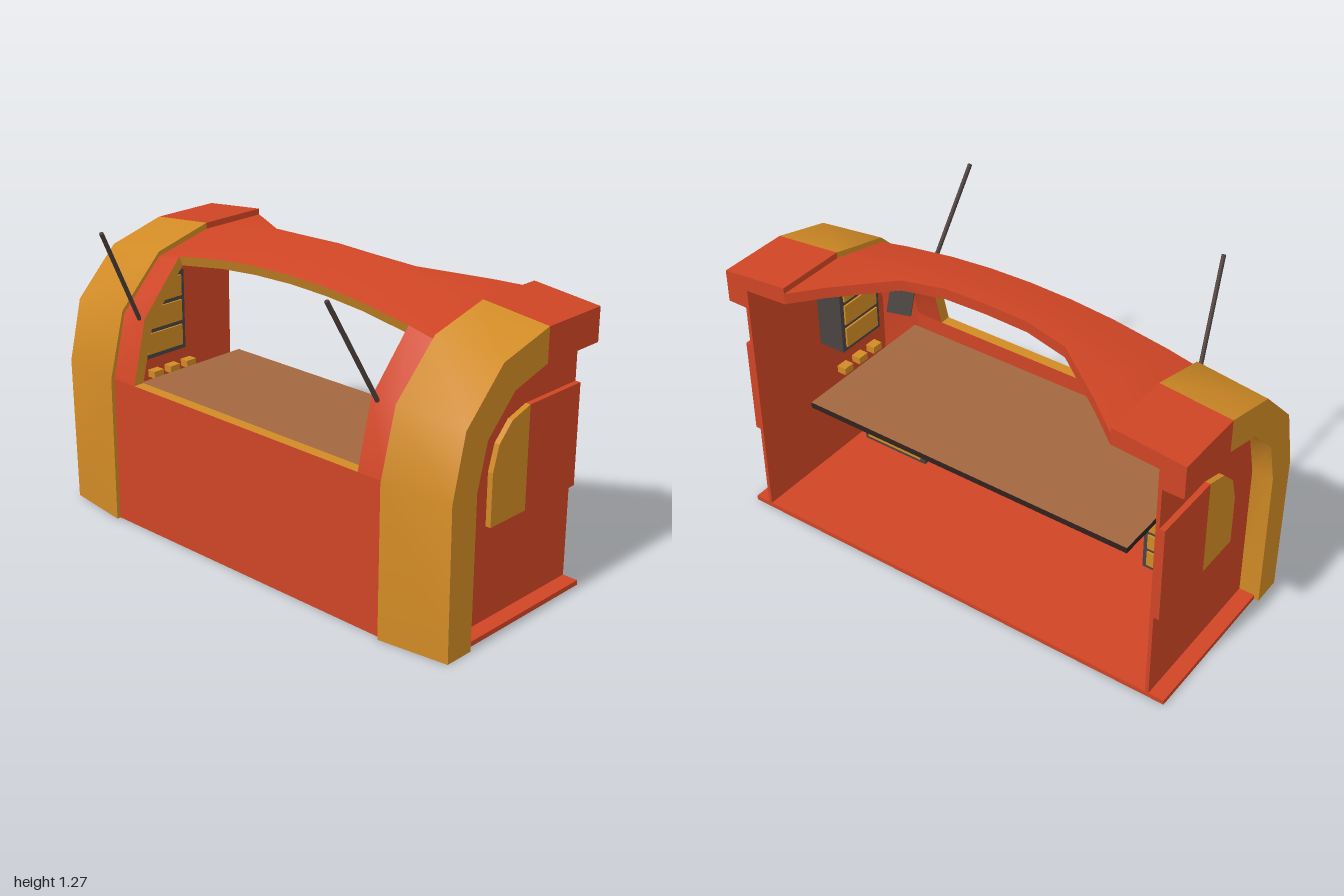
import * as THREE from 'three';
import { toCreasedNormals } from 'three/addons/utils/BufferGeometryUtils.js';

const mat = (name, color) => {
  const m = new THREE.MeshStandardMaterial({ color, side: THREE.DoubleSide });
  m.name = name;
  return m;
};

export function createModel() {
  const root = new THREE.Group();
  root.name = 'marketBooth';
  const red = mat('red', 0xcf4525), yellow = mat('amber', 0xd08a25), brown = mat('wood', 0xa3673f);
  const grey = mat('grey', 0x4a4342), dark = mat('dark', 0x30211d), rod = mat('rod', 0x4a3d39);

  const add = (name, geo, material) => {
    const m = new THREE.Mesh(geo, material);
    m.name = name;
    root.add(m);
    return m;
  };
  // Surface through equal-length rows of [x, y, z] points
  const patch = (name, rows, material) => {
    const n = rows[0].length, idx = [];
    for (let i = 0; i < rows.length - 1; i++) for (let j = 0; j < n - 1; j++) {
      const a = i * n + j, b = a + n;
      idx.push(a, b, a + 1, b, b + 1, a + 1);
    }
    const g = new THREE.BufferGeometry();
    g.setAttribute('position', new THREE.Float32BufferAttribute(rows.flat(2), 3));
    g.setIndex(idx);
    return add(name, toCreasedNormals(g, 0.6), material);
  };
  const box = (name, x0, x1, y0, y1, z0, z1, material) => {
    const g = new THREE.BoxGeometry(Math.abs(x1 - x0), y1 - y0, z1 - z0);
    return add(name, g.translate((x0 + x1) / 2, (y0 + y1) / 2, (z0 + z1) / 2), material);
  };
  // Plate with a [z, y] outline, between x0 and x0 + depth
  const sidePlate = (name, pts, x0, depth, material) => {
    const s = new THREE.Shape(pts.map(([z, y]) => new THREE.Vector2(-z, y)));
    const g = new THREE.ExtrudeGeometry(s, { depth, bevelEnabled: false });
    return add(name, g.rotateY(Math.PI / 2).translate(x0, 0, 0), material);
  };

  // Side profiles as [z, y]
  const outer = [[0.335, 0], [0.335, 0.61], [0.27, 0.87], [0.08, 1.06], [-0.18, 1.12], [-0.48, 1.12]];
  const inner = [[0.288, 0], [0.288, 0.61], [0.23, 0.84], [0.065, 1.02], [-0.18, 1.075], [-0.48, 1.075]];
  const archIn = [[0.352, 0], [0.352, 0.61], [0.28, 0.88], [0.08, 1.08], [-0.18, 1.145], [-0.48, 1.145]];
  const archOut = [[0.313, 0], [0.32, 0.61], [0.26, 0.86], [0.07, 1.05], [-0.18, 1.115], [-0.48, 1.115]];
  const recess = [[0.187, 0], [0.187, 0.61], [0.14, 0.79], [0, 0.93], [-0.18, 0.98], [-0.48, 0.98]];
  const at = (p, x) => p.map(([z, y]) => [x, y, z]);

  const W = 0.59, E = 0.71, WALL = 0.915;
  const lift = x => 0.08 * (1 - (x / E) ** 2);
  const back = { 0.71: -0.48, 0.59: -0.39, 0.36: -0.23, 0.18: -0.2, 0: -0.2 };
  const roofXs = [-E, -W, -0.36, -0.18, 0, 0.18, 0.36, W, E];
  const pt = (p, i, x) => [x, p[i][1] + (i > 2 ? lift(x) : 0), i === 5 ? back[Math.abs(x)] : p[i][0]];
  const skin = (p, i0, i1, xs) => xs.map(x => {
    const row = [];
    for (let i = i0; i <= i1; i++) row.push(pt(p, i, x));
    return row;
  });
  const rim = (i, xs) => xs.map(x => [pt(outer, i, x), pt(inner, i, x)]);

  // Front wall and arched roof with an open back edge
  for (const [p, n] of [[outer, 'Outer'], [inner, 'Inner']]) {
    patch('frontWall' + n, skin(p, 0, 1, [-E, E]), red);
    patch('roof' + n, skin(p, 3, 5, roofXs), red);
    patch('leftColumn' + n, skin(p, 1, 3, [W, E]), red);
    patch('rightColumn' + n, skin(p, 1, 3, [-W, -E]), red);
  }
  patch('roofBackEdge', rim(5, roofXs), red);

  // Amber reveals around the serving window
  patch('windowSill', rim(1, [-W, W]), yellow);
  patch('windowHeader', rim(3, roofXs.slice(1, -1)), yellow);

  // Floor
  box('floor', -0.98, 0.98, 0, 0.02, -0.48, 0.315, red);

  // Counter top with dark edges
  const counter = box('counter', -0.73, 0.73, 0.52, 0.545, -0.37, 0.285, brown);
  counter.material = [dark, dark, brown, brown, dark, dark];

  for (const s of [1, -1]) {
    const side = s > 0 ? 'left' : 'right';
    patch(side + 'WindowJamb', [1, 2, 3].map(i => [pt(outer, i, s * W), pt(inner, i, s * W)]), yellow);

    // End arch: amber at the front, red at the back
    for (const [a, b, m, n] of [[0, 5, yellow, 'Front'], [4, 6, red, 'Back']]) {
      const cut = (p, x) => at(p.slice(a, b), s * x);
      patch(side + 'Arch' + n, [cut(archIn, E), cut(archOut, 1)], m);
      patch(side + 'ArchRim' + n, [cut(archOut, 1), cut(recess, 1)], m);
      patch(side + 'ArchReturn' + n, [cut(recess, 1), cut(recess, WALL)], m);
      patch(side + 'ArchStep' + n, [cut(archIn, E), cut(outer, E)], m);
    }
    patch(side + 'ArchLining', [at(inner, s * E), at(inner, s * WALL)], red);
    patch(side + 'ArchBackCap', [
      [[s * E, 1.145, -0.48], [s * WALL, 1.124, -0.48], [s, 1.115, -0.48]],
      [[s * E, 1.075, -0.48], [s * WALL, 1.06, -0.48], [s, 1.06, -0.48]]], red);
    patch(side + 'ArchBackLip', [
      [[s * WALL, 1.06, -0.48], [s, 1.06, -0.48]],
      [[s * WALL, 0.98, -0.48], [s, 0.98, -0.48]]], red);

    // End wall with a raised side window
    const plateX = (x, d) => (s > 0 ? x : -x - d);
    sidePlate(side + 'EndWall', [...inner, [-0.48, 0]], plateX(WALL - 0.015, 0.015), 0.015, red);
    sidePlate(side + 'SideWindow', [[0.02, 0.4], [0.02, 0.61], [-0.01, 0.71], [-0.08, 0.78],
      [-0.18, 0.81], [-0.18, 0.4]], plateX(WALL, 0.022), 0.022, yellow);
    box(side + 'SidePanel', s * WALL, s * (WALL + 0.022), 0.4, 0.81, -0.48, -0.18, red);

    // Drawer cabinet on the floor, facing the back
    box(side + 'FloorCabinet', s * 0.54, s * 0.86, 0.02, 0.3, 0.08, 0.285, grey);
    // Wall cabinet above the counter, facing inward
    box(side + 'WallCabinet', s * 0.78, s * 0.9, 0.61, 0.95, -0.11, 0.12, grey);
    for (let i = 0; i < 3; i++) {
      const y = 0.04 + i * 0.087, h = 0.63 + i * 0.107;
      box(side + 'FloorDrawer', s * 0.56, s * 0.84, y, y + 0.068, 0.072, 0.08, yellow);
      box(side + 'WallDrawer', s * 0.772, s * 0.78, h, h + 0.088, -0.09, 0.1, yellow);
      box(side + 'TrayItem', s * 0.75, s * 0.79, 0.53, 0.56, -0.14 + i * 0.09, -0.09 + i * 0.09, yellow);
    }

    // Small tilted screens near the front corner
    for (const [x, y, z] of [[0.72, 0.72, 0.19], [0.77, 0.83, 0.16]]) {
      const screen = add(side + 'Screen', new THREE.BoxGeometry(0.1, 0.11, 0.02), grey);
      screen.position.set(s * x, y, z);
      screen.rotation.set(0.3, s * 0.5, 0);
    }

    // Slanted rod
    const a = new THREE.Vector3(s * 0.62, 0.865, 0.27), b = new THREE.Vector3(s * 0.573, 1.265, 0.48);
    const pole = add(side + 'Rod', new THREE.CylinderGeometry(0.009, 0.009, a.distanceTo(b), 8), rod);
    pole.position.copy(a).lerp(b, 0.5);
    pole.quaternion.setFromUnitVectors(new THREE.Vector3(0, 1, 0), b.clone().sub(a).normalize());
  }
  return root;
}
